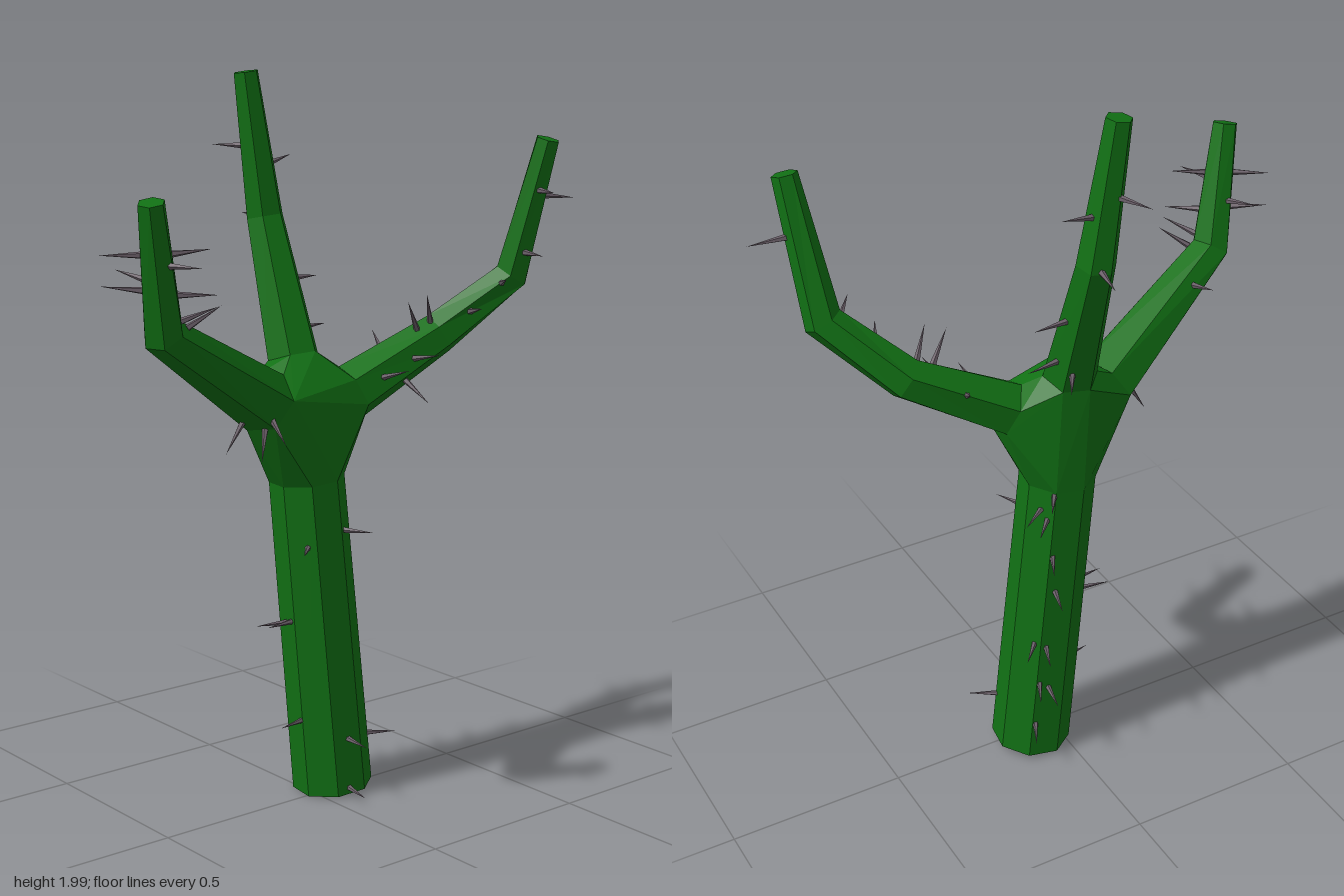
import * as THREE from 'three';
import { ConvexGeometry } from 'three/addons/geometries/ConvexGeometry.js';

const V = (a) => new THREE.Vector3(a[0], a[1], a[2]);

// Cross-section rings along a path of [x, y, z, radius], mitred at the bends.
function makeRings(path, sides, turn) {
  const pts = path.map(V);
  const ref = new THREE.Vector3(0, 0, 1);
  return path.map((p, i) => {
    const a = pts[Math.max(i - 1, 0)], b = pts[Math.min(i + 1, pts.length - 1)];
    const dirIn = pts[i].clone().sub(a).normalize();
    const dirOut = b.clone().sub(pts[i]).normalize();
    const t = dirIn.add(dirOut).normalize();
    const u = ref.clone().addScaledVector(t, -ref.dot(t)).normalize();
    const w = t.clone().cross(u);
    return Array.from({ length: sides }, (_, k) => {
      const q = turn + (k / sides) * Math.PI * 2;
      return pts[i].clone()
        .addScaledVector(u, Math.cos(q) * p[3])
        .addScaledVector(w, Math.sin(q) * p[3]);
    });
  });
}

// Skin over the rings with a flat cap at both ends.
function skin(rings) {
  const n = rings[0].length, pos = [], idx = [];
  rings.forEach((r) => r.forEach((v) => pos.push(v.x, v.y, v.z)));
  for (let i = 0; i < rings.length - 1; i++) {
    for (let k = 0; k < n; k++) {
      const a = i * n + k, b = i * n + ((k + 1) % n);
      idx.push(a, b, b + n, a, b + n, a + n);
    }
  }
  const last = (rings.length - 1) * n;
  for (let k = 1; k < n - 1; k++) {
    idx.push(0, k + 1, k, last, last + k, last + k + 1);
  }
  const g = new THREE.BufferGeometry();
  g.setAttribute('position', new THREE.Float32BufferAttribute(pos, 3));
  g.setIndex(idx);
  g.computeVertexNormals();
  return g;
}

// Thorns: [position along the path in segments, outward direction x, y, z].
const limbs = {
  trunk: {
    sides: 8, turn: 0.25, joint: 1,
    path: [[0.08, 0.01, -0.02, 0.112], [0, 0.9, -0.035, 0.104]],
    thorns: [
      [0.02, -0.2, 0, 1], [0.15, 0.9, 0, 0.5], [0.18, -0.1, 0, 1], [0.25, -1, 0, 0.2],
      [0.13, 0.5, 0, -1], [0.27, 0.2, 0, -1], [0.29, 0.5, 0, -1], [0.44, 0.7, 0, -0.8],
      [0.43, 0.4, 0, -1], [0.56, -1, 0, -0.2], [0.57, -1, 0, 0.1], [0.64, 0.3, 0, -1],
      [0.77, 0.5, 0, -1], [0.81, -0.7, 0, 0.7], [0.84, 0.5, 0, 1], [0.9, 0.7, 0, -0.8],
      [0.93, 0.8, 0, -0.6], [0.99, 0.6, 0, -0.9],
    ],
  },
  rightArm: {
    sides: 6, turn: 0.3, joint: 0,
    path: [[-0.16, 1.13, -0.01, 0.088], [-0.575, 1.365, 0.125, 0.056], [-0.65, 1.695, 0.19, 0.035]],
    thorns: [
      [0, -0.5, -0.8, 0.5], [0.05, -0.2, -0.7, 1], [0.1, -0.6, -1, -0.1],
      [0.72, 0, 0.3, -1], [0.92, 0.8, 0.6, 0.5], [1.1, 0.7, 0.4, 0.7], [1.3, 0.8, 0, 0.6],
      [1.35, -0.8, 0.1, -0.6], [1.4, -0.3, 0.2, -1], [1.6, 1, 0.1, 0.4], [1.62, -0.9, 0, -0.6],
      [1.55, 0.3, 0, 1],
    ],
  },
  leftArm: {
    sides: 6, turn: 0.3, joint: 0,
    path: [[0.13, 1.13, 0, 0.078], [0.395, 1.27, 0.055, 0.06], [0.565, 1.43, 0.165, 0.052],
      [0.6, 1.805, 0.26, 0.034]],
    thorns: [
      [0.25, 0.1, 0.3, 1], [0.45, 0.2, -0.6, 0.8], [0.5, 0.3, 0.5, -0.8], [0.6, 0.1, 0.2, 1],
      [0.8, -0.5, 0.8, 0.2], [1, -0.4, 0.8, 0.3], [1.4, -0.4, 0.2, 0.9], [1.85, -0.6, 0.2, 0.8],
      [2.2, -0.3, 0, 1], [2.6, 1, -0.1, 0.2], [2.65, -0.4, 0, 1],
    ],
  },
  middleArm: {
    sides: 6, turn: 0.3, joint: 0,
    path: [[-0.015, 1.23, -0.075, 0.075], [-0.02, 1.6, -0.19, 0.053], [-0.07, 1.985, -0.205, 0.035]],
    thorns: [
      [0.2, 1, 0, -0.2], [0.15, 0.6, 0, -1], [0.55, 1, 0, -0.1], [1, 0.2, 0, -1],
      [1.35, 0.9, 0.2, -0.2], [1.5, -0.4, 0, -1],
    ],
  },
};

export function createModel() {
  const group = new THREE.Group();
  const green = new THREE.MeshStandardMaterial({ color: 0x117014, flatShading: true });
  const grey = new THREE.MeshStandardMaterial({ color: 0x6b5f69, flatShading: true });

  // One slender spike, its base at the origin, pointing up +y.
  const thornGeo = new THREE.ConeGeometry(0.009, 0.1, 5).translate(0, 0.05, 0);
  const thorns = new THREE.Group();
  thorns.name = 'thorns';

  const jointPoints = [];
  for (const [name, limb] of Object.entries(limbs)) {
    const { path } = limb;
    const rings = makeRings(path, limb.sides, limb.turn);
    jointPoints.push(...rings[limb.joint]);
    const mesh = new THREE.Mesh(skin(rings), green);
    mesh.name = name;
    group.add(mesh);

    for (const [s, ...d] of limb.thorns) {
      const i = Math.min(Math.floor(s), path.length - 2), f = s - i;
      const a = V(path[i]), b = V(path[i + 1]);
      const axis = b.clone().sub(a).normalize();
      const dir = V(d).normalize();
      const out = dir.clone().addScaledVector(axis, -dir.dot(axis)).normalize();
      const r = THREE.MathUtils.lerp(path[i][3], path[i + 1][3], f);
      const thorn = new THREE.Mesh(thornGeo, grey);
      thorn.name = 'thorn';
      thorn.position.copy(a.lerp(b, f)).addScaledVector(out, r * 0.85);
      thorn.quaternion.setFromUnitVectors(new THREE.Vector3(0, 1, 0), dir);
      thorns.add(thorn);
    }
  }

  // Faceted joint where the trunk and the three arms meet.
  const joint = new THREE.Mesh(new ConvexGeometry(jointPoints), green);
  joint.name = 'joint';
  group.add(joint, thorns);
  return group;
}
